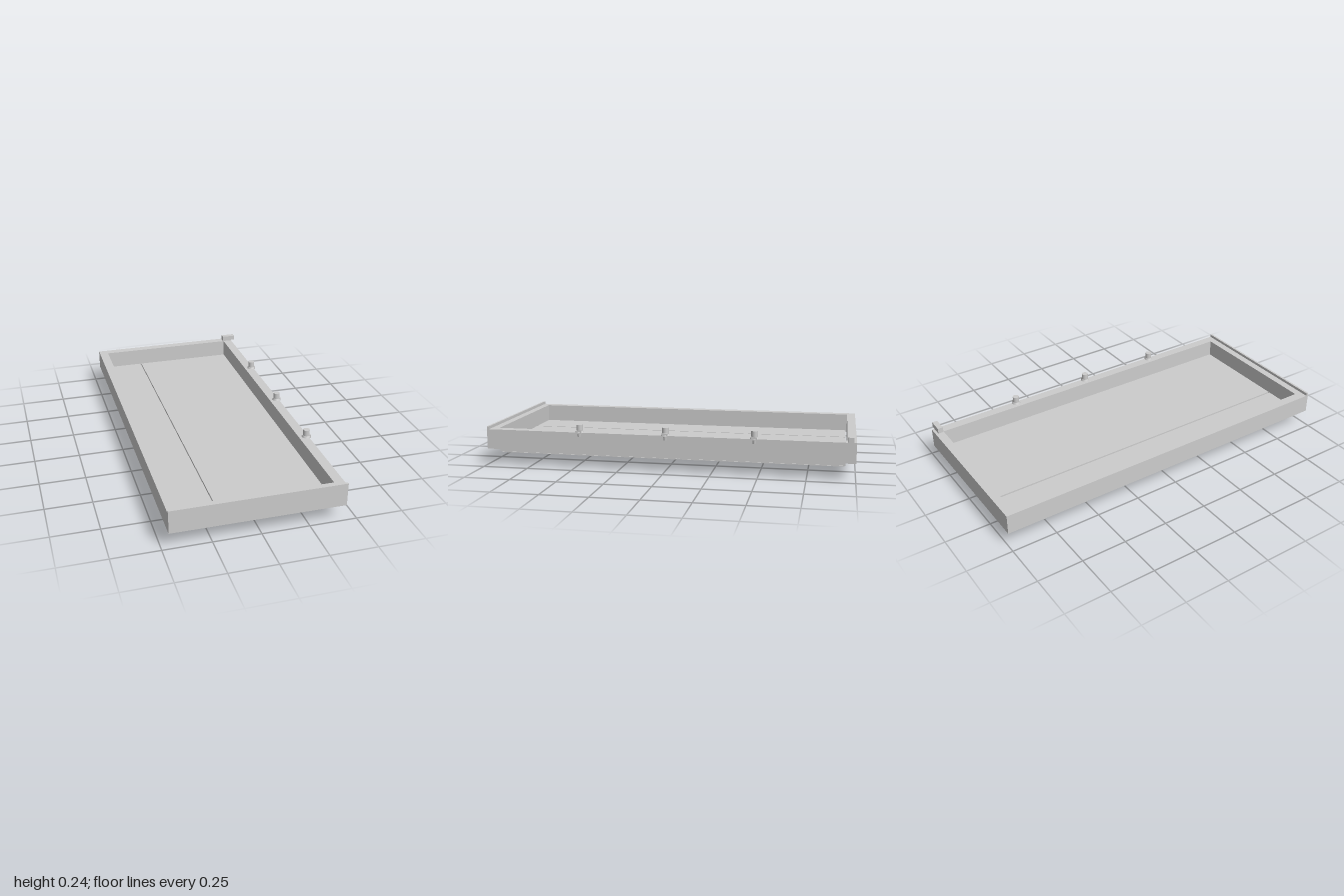
import * as THREE from 'three';

export function createModel() {
  const model = new THREE.Group();
  const grey = new THREE.MeshStandardMaterial({ color: 0xcccccc });
  grey.name = 'light grey';

  const add = (name, geometry, parent = model) => {
    const mesh = new THREE.Mesh(geometry, grey);
    mesh.name = name;
    parent.add(mesh);
    return mesh;
  };
  // Box given by its limits on each axis
  const box = (name, x0, x1, y0, y1, z0, z1, parent) => {
    const mesh = add(name, new THREE.BoxGeometry(x1 - x0, y1 - y0, z1 - z0), parent);
    mesh.position.set((x0 + x1) / 2, (y0 + y1) / 2, (z0 + z1) / 2);
    return mesh;
  };
  const cylinder = (name, rTop, rBottom, y0, y1, x, parent) => {
    const mesh = add(name, new THREE.CylinderGeometry(rTop, rBottom, y1 - y0, 24), parent);
    mesh.position.set(x, (y0 + y1) / 2, 0);
    return mesh;
  };

  // Outer frame: four rails around the opening
  const low = 0.088, high = 0.197;
  box('frameSideRail', -0.465, -0.413, low, high, -1, 1);
  box('frameHingeRail', 0.387, 0.44, low, high, -1, 1);
  box('frameBackRail', -0.413, 0.387, low, high, -1, -0.953);
  box('frameFrontRail', -0.413, 0.387, low, high, 0.947, 1);
  box('frontLip', -0.465, 0.44, high, 0.213, 0.988, 1);

  // Two leaves separated by a narrow channel
  box('narrowLeaf', -0.413, -0.202, 0.064, 0.1, -0.947, 0.947);
  box('wideLeaf', -0.192, 0.387, 0.064, 0.1, -0.947, 0.947);
  box('channelStrip', -0.202, -0.192, 0.08, 0.088, -0.947, 0.947);
  box('coverStrip', -0.2, -0.188, 0.054, 0.08, -0.945, 0.945);

  // Thin skins under the leaves, with a seam across
  for (const [x0, x1] of [[-0.41, -0.202], [-0.178, 0.378]]) {
    box('backSkin', x0, x1, 0.057, 0.061, -0.942, -0.063);
    box('frontSkin', x0, x1, 0.057, 0.061, -0.057, 0.942);
  }

  // Small slot plate with rounded ends
  const pill = (length, width, depth) => {
    const r = width / 2, h = length / 2 - r;
    const shape = new THREE.Shape();
    shape.absarc(h, 0, r, -Math.PI / 2, Math.PI / 2);
    shape.absarc(-h, 0, r, Math.PI / 2, Math.PI * 1.5);
    shape.closePath();
    return new THREE.ExtrudeGeometry(shape, { depth, bevelEnabled: false, curveSegments: 12 })
      .rotateX(-Math.PI / 2);
  };
  add('slotPlate', pill(0.098, 0.038, 0.006)).position.set(-0.03, 0.045, -0.36);

  // Lever handle below the narrow leaf
  const handle = new THREE.Group();
  handle.name = 'handle';
  model.add(handle);
  const plate = new THREE.Shape();
  plate.absarc(-0.3, 0.04, 0.011, -Math.PI / 2, Math.PI / 2);
  plate.absarc(-0.344, 0.04, 0.011, Math.PI / 2, Math.PI * 1.5);
  plate.closePath();
  add('handlePlate', new THREE.ExtrudeGeometry(plate, { depth: 0.22, bevelEnabled: false }), handle)
    .position.z = -0.028;
  box('lockPlate', -0.344, -0.3, 0.024, 0.03, -0.015, 0.1, handle);
  const hub = add('leverHub', new THREE.CylinderGeometry(0.017, 0.017, 0.016, 24), handle);
  hub.rotation.x = Math.PI / 2;
  hub.position.set(-0.294, 0.017, 0.167);
  const lever = add('lever', new THREE.CylinderGeometry(0.0065, 0.0065, 0.104, 16), handle);
  lever.rotation.z = Math.PI / 2;
  lever.position.set(-0.237, 0.0185, 0.167);

  // Three hinges along one long rail
  for (const z of [-0.477, -0.004, 0.47]) {
    const hinge = new THREE.Group();
    hinge.name = 'hinge';
    hinge.position.z = z;
    model.add(hinge);
    cylinder('hingeBarrel', 0.018, 0.018, 0.2, 0.24, 0.428, hinge);
    cylinder('hingeFlange', 0.02, 0.024, 0.197, 0.207, 0.428, hinge);
    box('hingeTab', 0.438, 0.45, 0.192, 0.21, -0.015, 0.015, hinge);
    cylinder('hingePin', 0.011, 0.008, 0.173, 0.195, 0.438, hinge);
  }

  // Corner stop block
  box('stopBlock', 0.383, 0.44, 0.197, 0.228, -0.985, -0.955);
  box('stopEnd', 0.44, 0.462, 0.2, 0.228, -0.985, -0.955);

  return model;
}
